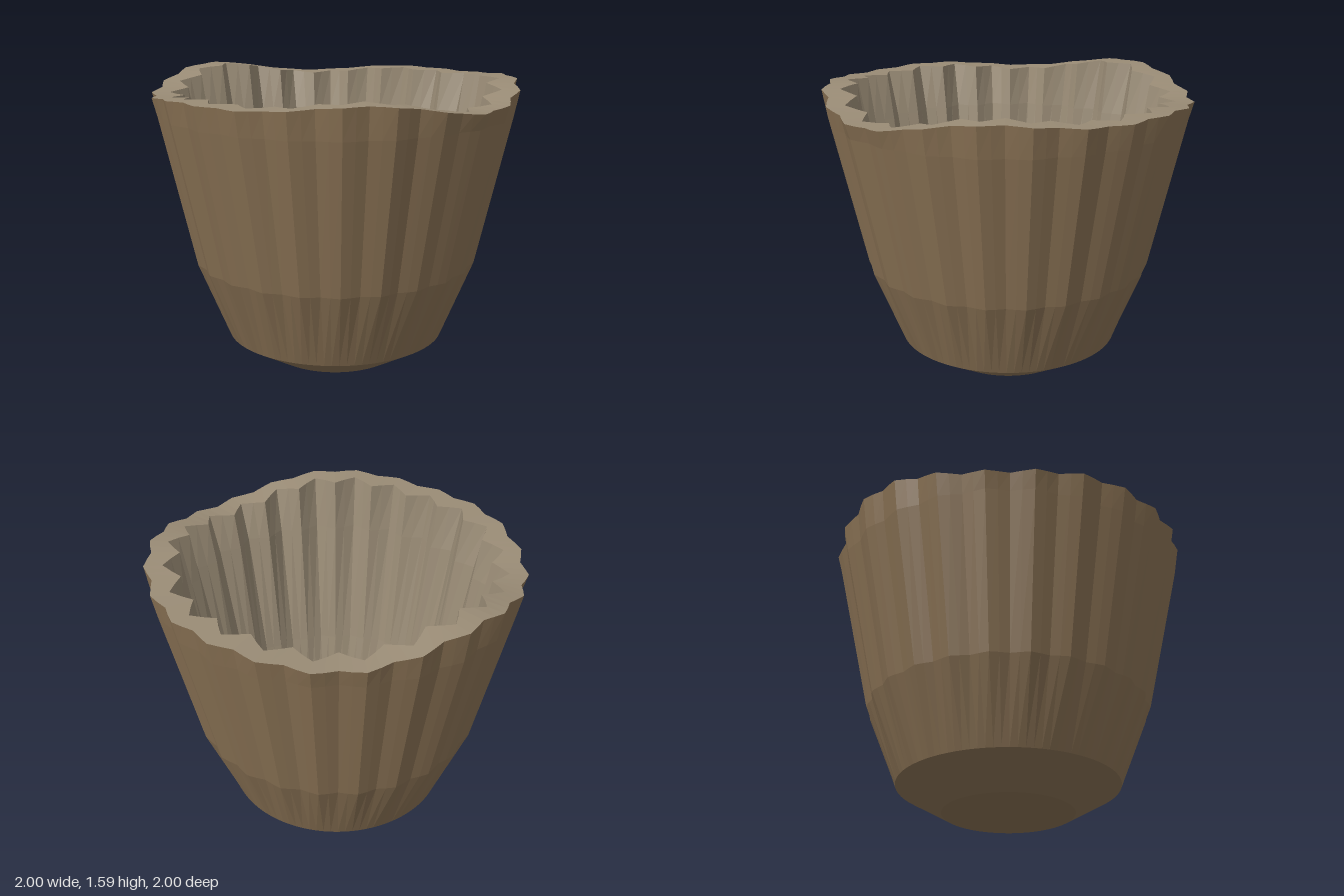
import * as THREE from 'three';

const FLUTES = 24, SEGMENTS = 96;
const CLAY = 0x8b7355, INNER = 0x9a8c76, STONE = 0x636a68, STEM = 0x7a6850;

// Fluting: soft waves outside, sharp zigzag inside
const soft = (t) => Math.cos(FLUTES * t);
const zigzag = (t) => 1 - (4 / Math.PI) * Math.asin(Math.abs(Math.sin(FLUTES * t / 2)));

// Uneven height of the lip around the pot
function rimHeight(t) {
  const p = t - 0.7;
  return 1.54 - 0.03 * Math.cos(3 * p) - 0.02 * Math.cos(5 * p);
}

// Rings are [height or height function, radius, flute depth, wave]
function loft(name, rings, color) {
  const pos = [], index = [], n = SEGMENTS;
  for (const [y, r, depth, wave] of rings) {
    for (let j = 0; j < n; j++) {
      const t = (j / n) * Math.PI * 2;
      const radius = r + depth * wave(t);
      pos.push(radius * Math.cos(t), typeof y === 'function' ? y(t) : y, radius * Math.sin(t));
    }
  }
  for (let i = 0; i < rings.length - 1; i++) {
    for (let j = 0; j < n; j++) {
      const k = (j + 1) % n;
      const a = i * n + j, b = i * n + k, c = a + n, d = b + n;
      index.push(a, c, b, b, c, d);
    }
  }
  let geometry = new THREE.BufferGeometry();
  geometry.setAttribute('position', new THREE.Float32BufferAttribute(pos, 3));
  geometry.setIndex(index);
  geometry = geometry.toNonIndexed();
  geometry.computeVertexNormals();
  return addMesh(name, geometry, color, true);
}

function addMesh(name, geometry, color, flatShading = false) {
  const mesh = new THREE.Mesh(geometry, new THREE.MeshStandardMaterial({ color, flatShading }));
  mesh.name = name;
  return mesh;
}

// Flattened oval fruit with a curved stem pointing along +x
function makeFruit() {
  const fruit = new THREE.Group();
  const profile = [[0, 0], [0.13, 0.01], [0.165, 0.06], [0.17, 0.09], [0.155, 0.14],
    [0.1, 0.185], [0.05, 0.198], [0, 0.2]].map(([x, y]) => new THREE.Vector2(x, y));
  const body = addMesh('fruitBody', new THREE.LatheGeometry(profile, 32), STONE);
  body.scale.x = 1.1;
  const path = new THREE.CatmullRomCurve3([
    new THREE.Vector3(0.15, 0.1, 0),
    new THREE.Vector3(0.21, 0.14, 0.005),
    new THREE.Vector3(0.25, 0.17, -0.01),
    new THREE.Vector3(0.28, 0.21, -0.035),
  ]);
  const stem = addMesh('fruitStem', new THREE.TubeGeometry(path, 12, 0.02, 8), STEM);
  stem.material.side = THREE.DoubleSide;
  fruit.add(body, stem);
  return fruit;
}

export function createModel() {
  const model = new THREE.Group();

  // Fluted pot: outside, lip and inside
  model.add(
    loft('outerWall', [
      [0.145, 0.61, 0, soft], [0.58, 0.775, 0.012, soft],
      [1.41, 0.958, 0.015, soft], [rimHeight, 0.983, 0.017, soft],
    ], CLAY),
    loft('rim', [[rimHeight, 0.983, 0.017, soft], [rimHeight, 0.86, 0.042, zigzag]], INNER),
    loft('innerWall', [
      [rimHeight, 0.86, 0.042, zigzag], [1.29, 0.81, 0.03, zigzag],
      [0.58, 0.69, 0.012, zigzag], [0.145, 0.61, 0, zigzag],
    ], INNER),
  );

  // Tapered base, whose top is the floor inside
  const base = addMesh('base', new THREE.CylinderGeometry(0.61, 0.36, 0.145, SEGMENTS), CLAY);
  base.position.y = 0.0725;
  model.add(base);

  // Ring of five fruits on the floor
  for (let i = 0; i < 5; i++) {
    const angle = THREE.MathUtils.degToRad(-84 + i * 72);
    const fruit = makeFruit();
    fruit.name = 'fruit' + (i + 1);
    fruit.position.set(0.375 * Math.cos(angle), 0.145, 0.375 * Math.sin(angle));
    fruit.rotation.y = -angle;
    model.add(fruit);
  }
  return model;
}
